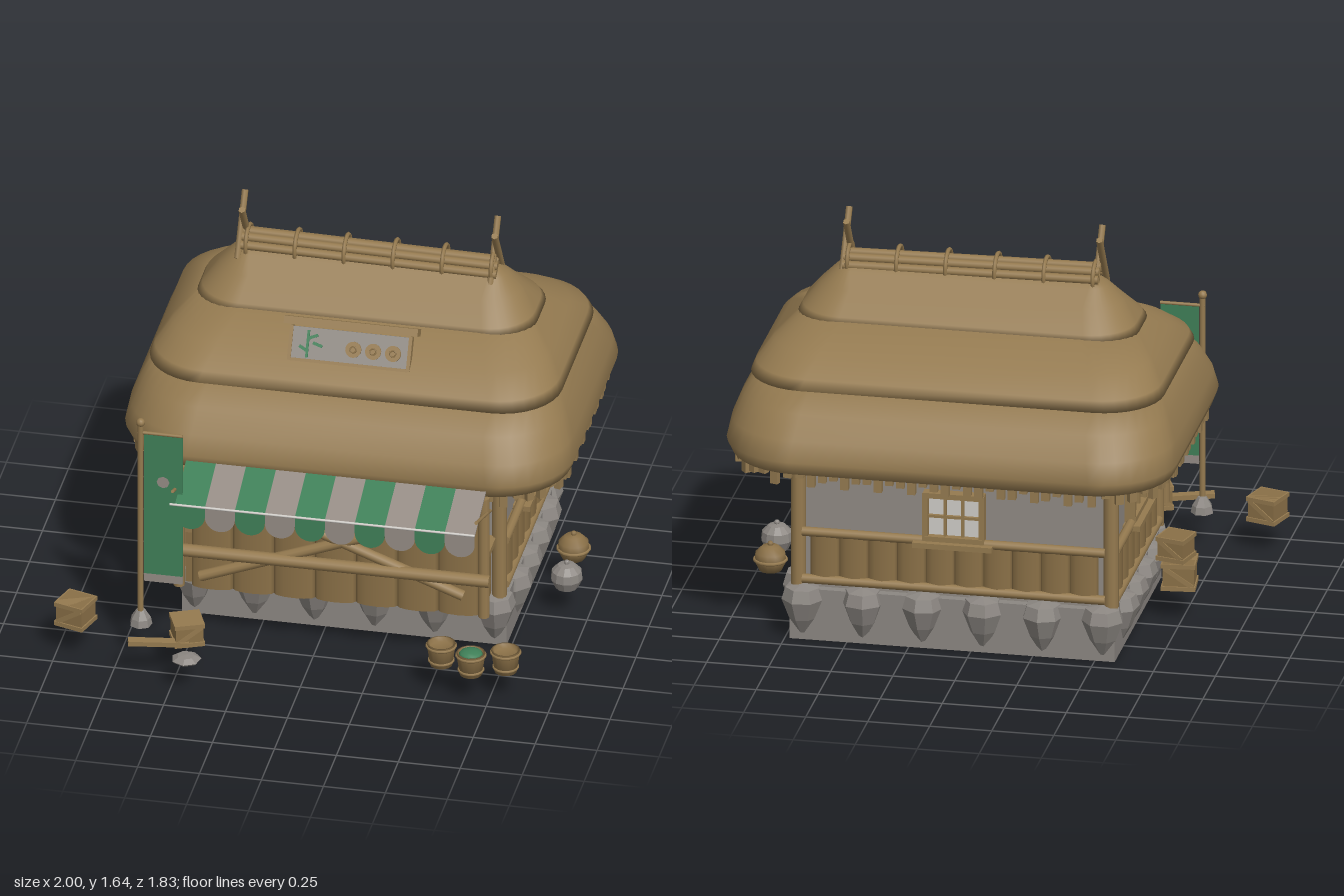
import * as THREE from 'three';

const mat = (name, color, extra = {}) => Object.assign(new THREE.MeshStandardMaterial({ color, ...extra }), { name });

export function createModel() {
  const M = {
    thatch: mat('thatch', 0x947a50),
    wood: mat('wood', 0x957a4f),
    plank: mat('plank', 0x8a7047),
    stone: mat('stone', 0x8c8782, { flatShading: true }),
    plaster: mat('plaster', 0x918b84),
    green: mat('greenCloth', 0x3f8058, { side: THREE.DoubleSide }),
    cloth: mat('greyCloth', 0x958c85, { side: THREE.DoubleSide }),
    pane: mat('paperPane', 0xd0cdc8),
  };
  const root = new THREE.Group();
  root.name = 'thatchedShop';

  const add = (name, geo, material, pos = [0, 0, 0], rot = [0, 0, 0], parent = root) => {
    const m = new THREE.Mesh(geo, material);
    m.name = name;
    m.position.set(...pos);
    m.rotation.set(...rot);
    parent.add(m);
    return m;
  };
  const box = (name, size, pos, material, rot, parent) =>
    add(name, new THREE.BoxGeometry(...size), material, pos, rot, parent);
  // Round pole between two points
  const rod = (name, a, b, r, material = M.wood, parent = root, sides = 10) => {
    const p = new THREE.Vector3(...a), q = new THREE.Vector3(...b), d = q.clone().sub(p);
    const m = add(name, new THREE.CylinderGeometry(r, r, d.length(), sides), material, p.clone().add(q).multiplyScalar(0.5).toArray(), [0, 0, 0], parent);
    m.quaternion.setFromUnitVectors(new THREE.Vector3(0, 1, 0), d.normalize());
    return m;
  };
  const lathe = (name, pts, sides, material, pos, parent) =>
    add(name, new THREE.LatheGeometry(pts.map(p => new THREE.Vector2(...p)), sides), material, pos, [0, 0, 0], parent);

  // Point and angle on a rounded rectangle
  const N = 9;
  const ring = (hx, hz, radius) => {
    const r = Math.min(radius, hx, hz), out = [];
    [[1, 1], [-1, 1], [-1, -1], [1, -1]].forEach(([sx, sz], c) => {
      for (let i = 0; i < N; i++) {
        const t = (c + i / (N - 1)) * Math.PI / 2;
        out.push([sx * (hx - r) + r * Math.cos(t), sz * (hz - r) + r * Math.sin(t), t]);
      }
    });
    return out;
  };
  // Loft of rounded rectangles [halfX, halfZ, radius, y], closed at the top
  const loft = rows => {
    const pos = [], idx = [], n = N * 4;
    rows.forEach(([hx, hz, r, y]) => ring(hx, hz, r).forEach(p => pos.push(p[0], y, p[1])));
    for (let i = 0; i < rows.length - 1; i++)
      for (let j = 0; j < n; j++) {
        const a = i * n + j, b = i * n + (j + 1) % n;
        idx.push(a, a + n, b, b, a + n, b + n);
      }
    const top = (rows.length - 1) * n;
    for (let j = 1; j < n - 1; j++) idx.push(top, top + j + 1, top + j);
    const g = new THREE.BufferGeometry();
    g.setAttribute('position', new THREE.Float32BufferAttribute(pos, 3));
    g.setIndex(idx);
    g.computeVertexNormals();
    return g;
  };

  // Thatched roof in three overlapping layers
  const RC = [0.085, 0, -0.22];
  add('lowerThatch', loft([[0.55, 0.38, 0.1, 0.85], [0.85, 0.645, 0.27, 0.78], [0.885, 0.68, 0.3, 0.785], [0.905, 0.7, 0.3, 0.84],
    [0.89, 0.67, 0.3, 0.92], [0.855, 0.6, 0.28, 1.01], [0.8, 0.5, 0.25, 1.1]]), M.thatch, RC);
  add('middleThatch', loft([[0.76, 0.46, 0.2, 1.09], [0.83, 0.53, 0.24, 1.08], [0.815, 0.505, 0.24, 1.12],
    [0.76, 0.4, 0.22, 1.19], [0.66, 0.23, 0.18, 1.275]]), M.thatch, RC);
  add('upperThatch', loft([[0.6, 0.18, 0.1, 1.265], [0.685, 0.25, 0.18, 1.255], [0.67, 0.23, 0.18, 1.285],
    [0.61, 0.145, 0.14, 1.36], [0.55, 0.075, 0.07, 1.42], [0.51, 0.04, 0.04, 1.45]]), M.thatch, RC);

  // Ragged straw fringe under the eave
  const fringe = new THREE.Group();
  fringe.name = 'eaveFringe';
  root.add(fringe);
  const eave = ring(0.865, 0.66, 0.28);
  eave.forEach((p, k) => {
    const q = eave[(k + 1) % eave.length], len = Math.hypot(q[0] - p[0], q[1] - p[1]), count = Math.max(1, Math.round(len / 0.045));
    for (let i = 0; i < count; i++) {
      const t = (i + 0.5) / count, h = 0.045 + 0.02 * Math.sin(k * 2.3 + i * 4.1);
      box('strawTuft', [0.032, h, 0.025], [RC[0] + p[0] + (q[0] - p[0]) * t, 0.795 - h / 2, RC[2] + p[1] + (q[1] - p[1]) * t],
        M.thatch, [0, -Math.atan2(q[1] - p[1], q[0] - p[0]), 0], fringe);
    }
  });

  // Ridge poles, bindings and crossed end poles
  [[-0.05, 1.44], [-0.027, 1.465], [0, 1.478], [0.027, 1.465], [0.05, 1.44]].forEach(([z, y]) =>
    rod('ridgePole', [-0.43, y + 0.01, -0.215 + z], [0.6, y - 0.005, -0.215 + z], 0.018));
  for (let i = 0; i < 6; i++)
    add('ridgeBinding', new THREE.TorusGeometry(0.065, 0.009, 6, 18), M.wood, [-0.41 + i * 0.198, 1.445, -0.215], [0, Math.PI / 2, 0]);
  for (const x of [-0.43, 0.59]) for (const s of [-1, 1])
    rod('crossedPole', [x + s * 0.01, 1.4, -0.21 - s * 0.07], [x + s * 0.01, 1.63, -0.21 + s * 0.08], 0.014, M.wood, root, 6);

  // Stone base with tapering boulders
  box('stoneBase', [1.31, 0.215, 0.94], [0.075, 0.1075, -0.21], M.stone);
  const boulder = (x, z, s = 1) => {
    const b = lathe('baseBoulder', [[0, 0], [0.055, 0.09], [0.085, 0.17], [0.07, 0.22], [0, 0.235]], 7, M.stone, [x, 0, z]);
    b.scale.set(s, 1, s);
    b.rotation.y = x * 9 + z * 5;
  };
  for (let i = 0; i < 6; i++) {
    boulder(-0.53 + i * 0.242, 0.245);
    boulder(-0.53 + i * 0.242, -0.665);
  }
  for (let i = 0; i < 4; i++) {
    boulder(-0.56, 0.05 - i * 0.185);
    boulder(0.71, 0.05 - i * 0.185);
  }

  // Plaster walls and corner posts
  box('plasterWalls', [1.24, 0.65, 0.89], [0.07, 0.54, -0.2], M.plaster);
  for (const x of [-0.56, 0.7]) for (const z of [0.255, -0.65])
    rod('cornerPost', [x, 0.22, z], [x, 0.86, z], 0.03);

  // Board row of flattened rounds along local x
  const boards = (parent, x0, x1, y0, y1, count, z) => {
    const w = (x1 - x0) / count;
    for (let i = 0; i < count; i++) {
      const b = add('wallBoard', new THREE.CylinderGeometry(w / 2, w / 2, y1 - y0, 12), M.plank,
        [x0 + w * (i + 0.5), (y0 + y1) / 2, z], [0, 0, 0], parent);
      b.scale.z = 0.025 / (w / 2);
    }
  };
  // Dado boards, rails and lattice window on one wall
  const wallSide = (name, pos, ry, len, count) => {
    const g = new THREE.Group();
    g.name = name;
    g.position.set(...pos);
    g.rotation.y = ry;
    root.add(g);
    boards(g, -len / 2 + 0.03, len / 2 - 0.03, 0.24, 0.45, count, 0.01);
    for (const y of [0.255, 0.455]) rod('wallRail', [-len / 2, y, 0.025], [len / 2, y, 0.025], 0.019, M.wood, g);
    box('windowPane', [0.22, 0.18, 0.008], [0, 0.56, 0.012], M.pane, undefined, g);
    for (const s of [-1, 1]) {
      box('windowJamb', [0.022, 0.2, 0.045], [s * 0.113, 0.56, 0.02], M.wood, undefined, g);
      box('windowRail', [0.245, 0.022, 0.05], [0, 0.56 + s * 0.092, 0.02], M.wood, undefined, g);
      box('windowMullion', [0.011, 0.18, 0.02], [s * 0.036, 0.56, 0.02], M.wood, undefined, g);
    }
    box('windowMuntin', [0.22, 0.011, 0.02], [0, 0.56, 0.02], M.wood, undefined, g);
    box('windowSill', [0.32, 0.022, 0.07], [0, 0.447, 0.035], M.wood, undefined, g);
  };
  wallSide('rightWall', [0.69, 0, -0.21], Math.PI / 2, 0.86, 7);
  wallSide('leftWall', [-0.55, 0, -0.21], -Math.PI / 2, 0.86, 7);
  wallSide('backWall', [0.07, 0, -0.645], Math.PI, 1.22, 10);

  // Counter with bowls and the braced shutter in front
  box('counter', [1.2, 0.24, 0.16], [0.07, 0.36, 0.35], M.plank);
  box('counterTop', [1.24, 0.025, 0.18], [0.07, 0.485, 0.355], M.wood);
  for (const x of [-0.25, 0.1, 0.45])
    lathe('bowl', [[0, 0], [0.03, 0], [0.05, 0.05], [0.03, 0.06], [0, 0.08]], 12, M.plank, [x, 0.497, 0.34]);
  boards(root, -0.5, 0.66, 0.24, 0.67, 7, 0.45);
  rod('shutterRail', [-0.53, 0.42, 0.495], [0.71, 0.42, 0.495], 0.026);
  rod('shutterBrace', [-0.46, 0.3, 0.48], [0.42, 0.64, 0.48], 0.022);
  rod('shutterBrace', [0.6, 0.335, 0.48], [-0.2, 0.64, 0.48], 0.022);
  for (const x of [-0.55, 0.68]) rod('shutterPost', [x, 0.24, 0.46], [x, 0.78, 0.46], 0.023);

  // Striped awning with scalloped hem
  const sw = 0.121, scallop = new THREE.Shape();
  scallop.moveTo(-sw / 2, 0).lineTo(-sw / 2, -0.045);
  scallop.absellipse(0, -0.045, sw / 2, 0.06, Math.PI, Math.PI * 2, false);
  scallop.lineTo(sw / 2, 0);
  for (let i = 0; i < 10; i++) {
    const x = -0.52 + sw * (i + 0.5), m = i % 2 ? M.cloth : M.green;
    box('awningStripe', [sw, 0.008, 0.43], [x, 0.805, 0.483], m, [0.36, 0, 0]);
    add('awningScallop', new THREE.ShapeGeometry(scallop, 10), m, [x, 0.735, 0.685]);
  }
  rod('awningCord', [-0.54, 0.735, 0.688], [0.69, 0.735, 0.688], 0.005, M.pane);
  for (const x of [-0.53, 0.695]) rod('awningStrut', [x, 0.79, 0.68], [x, 0.695, 0.41], 0.007);

  // Roof sign, leaning back on the thatch
  const sign = new THREE.Group();
  sign.name = 'roofSign';
  sign.position.set(0.08, 1.225, 0.165);
  sign.rotation.x = -0.5;
  root.add(sign);
  box('signBoard', [0.48, 0.13, 0.025], [0, 0, 0], M.plaster, undefined, sign);
  for (const s of [-1, 1]) box('signEdge', [0.014, 0.14, 0.035], [s * 0.24, 0, 0], M.wood, undefined, sign);
  box('signFoot', [0.48, 0.012, 0.035], [0, -0.066, 0], M.wood, undefined, sign);
  box('signRoof', [0.54, 0.03, 0.07], [0, 0.088, 0.005], M.wood, undefined, sign);
  for (const x of [0.015, 0.095, 0.175]) {
    add('signDisc', new THREE.CylinderGeometry(0.032, 0.032, 0.009, 18), M.wood, [x, -0.005, 0.016], [Math.PI / 2, 0, 0], sign);
    add('signDiscRing', new THREE.TorusGeometry(0.012, 0.003, 6, 12), M.plank, [x, -0.005, 0.021], [0, 0, 0], sign);
  }
  box('signStem', [0.01, 0.11, 0.008], [-0.17, 0, 0.015], M.green, undefined, sign);
  [[-0.15, 0.03, 0.4], [-0.13, 0, -0.3], [-0.185, -0.02, -0.5]].forEach(([x, y, r]) =>
    box('signLeaf', [0.04, 0.012, 0.008], [x, y, 0.015], M.green, [0, 0, r], sign));

  // Banner on a pole
  rod('bannerPole', [-0.67, 0.16, 0.63], [-0.67, 1.05, 0.63], 0.012);
  add('poleKnob', new THREE.SphereGeometry(0.018, 10, 8), M.wood, [-0.67, 1.06, 0.63]);
  rod('bannerArm', [-0.68, 1.015, 0.63], [-0.5, 1.015, 0.63], 0.007);
  box('banner', [0.155, 0.635, 0.009], [-0.578, 0.695, 0.63], M.green);
  box('bannerHem', [0.155, 0.035, 0.009], [-0.578, 0.36, 0.63], M.cloth);
  for (const s of [-1, 1])
    add('bannerMark', new THREE.CircleGeometry(0.026, 8), M.cloth, [-0.578, 0.8, 0.63 + s * 0.006], [0, s > 0 ? 0 : Math.PI, 0]);
  lathe('poleStone', [[0, 0], [0.046, 0.01], [0.04, 0.04], [0.018, 0.075], [0, 0.08]], 7, M.stone, [-0.67, 0.13, 0.625]);

  // Crates, loose plank and flat rock
  const crate = (x, y, z, s, ry) => {
    const g = new THREE.Group();
    g.name = 'crate';
    g.position.set(x, y, z);
    g.rotation.y = ry;
    root.add(g);
    box('crateBody', [s, s * 0.9, s], [0, 0, 0], M.plank, undefined, g);
    for (const sy of [-1, 1]) box('crateBand', [s + 0.012, 0.018, s + 0.012], [0, sy * (s * 0.45 - 0.009), 0], M.wood, undefined, g);
    for (const sz of [-1, 1]) box('crateBrace', [s * 1.1, 0.018, 0.008], [0, 0, sz * s * 0.505], M.wood, [0, 0, 0.6], g);
  };
  crate(-0.93, 0.177, 0.64, 0.115, -0.3);
  crate(-0.47, 0.175, 0.69, 0.11, 0.4);
  crate(-0.735, 0.19, -0.15, 0.125, 0.1);
  crate(-0.72, 0.3, -0.15, 0.11, -0.25);
  box('loosePlank', [0.24, 0.02, 0.04], [-0.57, 0.145, 0.765], M.wood, [0, 0.24, -0.05]);
  lathe('flatRock', [[0, 0], [0.05, 0.005], [0.06, 0.015], [0.035, 0.03], [0, 0.033]], 7, M.stone, [-0.44, 0.12, 0.85]);

  // Buckets, one planted
  [[0.55, 0.66], [0.68, 0.71], [0.81, 0.66]].forEach(([x, z], i) => {
    lathe('bucket', [[0, 0], [0.045, 0], [0.058, 0.095], [0.05, 0.095], [0.046, 0.075], [0, 0.075]], 14, M.plank, [x, 0.12, z]);
    for (const [y, r] of [[0.02, 0.048], [0.085, 0.057]])
      add('bucketHoop', new THREE.TorusGeometry(r, 0.006, 6, 16), M.wood, [x, 0.12 + y, z], [Math.PI / 2, 0, 0]);
    if (i === 1) add('bucketGreens', new THREE.SphereGeometry(0.05, 10, 6).scale(1, 0.4, 1), M.green, [x, 0.207, z]);
  });

  // Round jars beside the right wall
  [[0.91, -0.04, M.stone], [0.89, -0.27, M.plank]].forEach(([x, z, m], i) => {
    lathe('jar', [[0, 0], [0.045, 0], [0.064, 0.04], [0.06, 0.075], [0.035, 0.1], [0, 0.108]], 12, m, [x, 0.12, z]);
    add('jarLidKnob', new THREE.SphereGeometry(0.012, 8, 6), m, [x, 0.23, z]);
    if (i) add('jarHoop', new THREE.TorusGeometry(0.063, 0.007, 6, 16), M.wood, [x, 0.165, z], [Math.PI / 2, 0, 0]);
  });
  return root;
}
